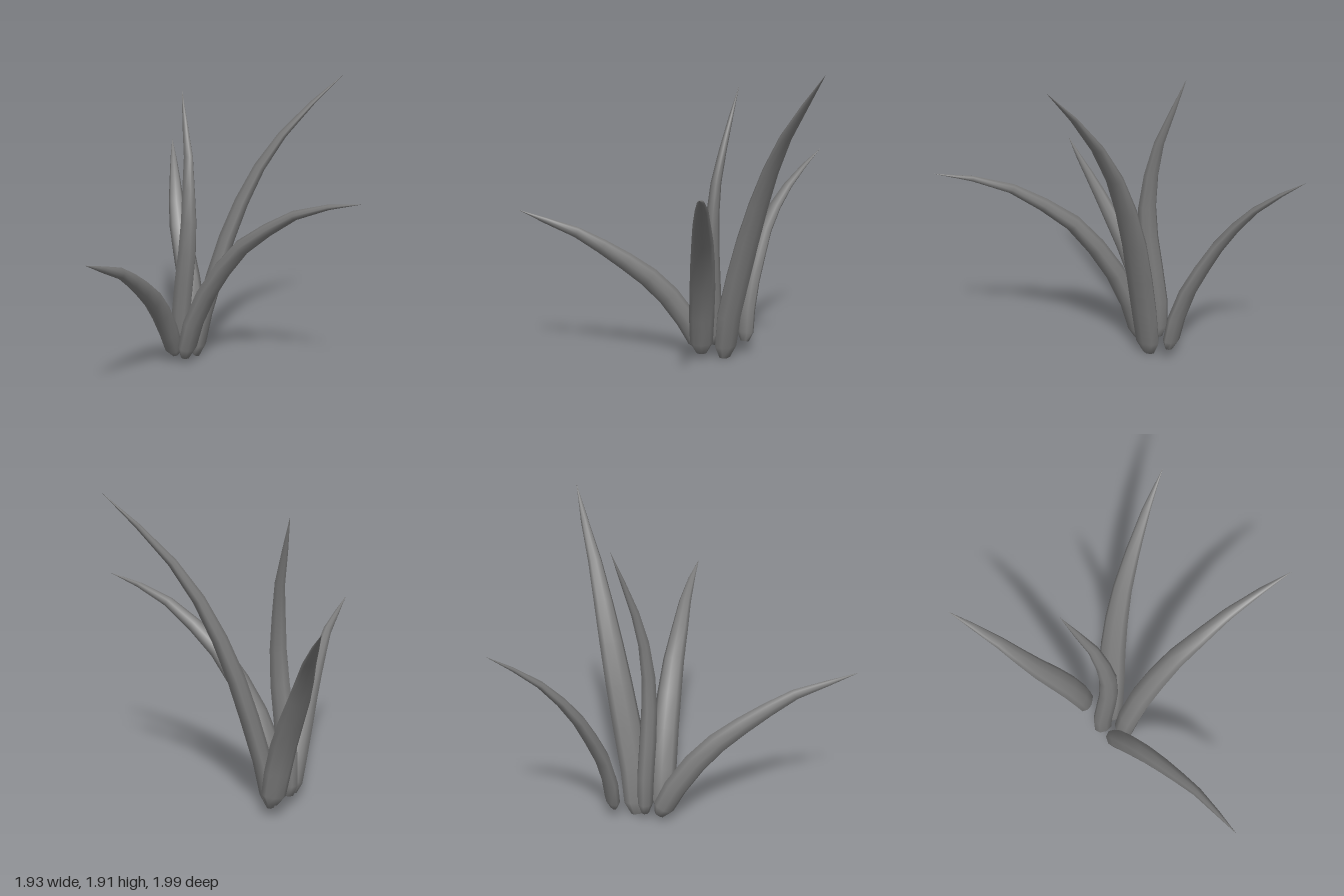
import * as THREE from 'three';

const SIDES = 8;
// Position along a leaf and its relative girth there
const STATIONS = [
  [0, 0.45], [0.04, 0.92], [0.14, 1], [0.27, 1], [0.39, 0.94],
  [0.51, 0.82], [0.63, 0.66], [0.75, 0.48], [0.88, 0.27], [1, 0.01],
];

// side: direction of the leaf's broad axis
const LEAVES = [
  { name: 'rightArchingLeaf', width: 0.165, thick: 0.125, side: [0, 0, -1],
    path: [[-0.30, 0.04, -0.18], [-0.25, 0.25, -0.18], [-0.14, 0.505, -0.185], [0.12, 0.865, -0.185],
      [0.33, 1.03, -0.18], [0.57, 1.175, -0.18], [0.8, 1.245, -0.175], [0.96, 1.28, -0.17]] },
  { name: 'tallBackLeaf', width: 0.185, thick: 0.115, side: [0.54, 0, 0.79],
    path: [[-0.315, 0.005, -0.335], [-0.27, 0.3, -0.36], [-0.22, 0.55, -0.41], [-0.16, 0.82, -0.47],
      [-0.02, 1.24, -0.58], [0.14, 1.53, -0.682], [0.26, 1.69, -0.76], [0.46, 1.91, -0.87]] },
  { name: 'frontLeaf', width: 0.12, thick: 0.145, side: [1, 0, -0.17],
    path: [[-0.38, 0.05, -0.18], [-0.36, 0.28, -0.06], [-0.325, 0.485, 0.1], [-0.29, 0.6, 0.23],
      [-0.25, 0.73, 0.41], [-0.205, 0.86, 0.61], [-0.18, 0.94, 0.8], [-0.16, 1.02, 0.99]] },
  { name: 'leftBackLeaf', width: 0.16, thick: 0.09, side: [0.8, 0, -0.6],
    path: [[-0.4, 0.09, -0.47], [-0.46, 0.38, -0.485], [-0.53, 0.57, -0.53],
      [-0.66, 0.85, -0.62], [-0.8, 1.11, -0.785], [-0.97, 1.32, -1.0]] },
  { name: 'uprightLeaf', width: 0.14, thick: 0.105, side: [1, 0, 0],
    path: [[-0.4, 0.07, -0.265], [-0.39, 0.3, -0.262], [-0.355, 0.55, -0.25], [-0.315, 0.87, -0.245],
      [-0.325, 1.15, -0.265], [-0.36, 1.4, -0.315], [-0.42, 1.6, -0.365], [-0.475, 1.79, -0.415]] },
];

// Sweep an oval section along the leaf's curve, tapering to a point
function leafGeometry({ path, width, thick, side }) {
  const curve = new THREE.CatmullRomCurve3(path.map(p => new THREE.Vector3(...p)));
  const positions = [], index = [];
  const broad = new THREE.Vector3(...side).normalize();
  for (const [t, girth] of STATIONS) {
    const centre = curve.getPointAt(t);
    const tangent = curve.getTangentAt(t);
    const s = broad.clone().addScaledVector(tangent, -broad.dot(tangent)).normalize();
    const n = new THREE.Vector3().crossVectors(tangent, s);
    for (let j = 0; j < SIDES; j++) {
      const a = (j / SIDES) * Math.PI * 2;
      const p = centre.clone()
        .addScaledVector(s, Math.cos(a) * girth * width / 2)
        .addScaledVector(n, Math.sin(a) * girth * thick / 2);
      positions.push(p.x, p.y, p.z);
    }
  }
  for (let i = 0; i < STATIONS.length - 1; i++) {
    for (let j = 0; j < SIDES; j++) {
      const k = (j + 1) % SIDES;
      const a = i * SIDES + j, b = i * SIDES + k, c = a + SIDES, d = b + SIDES;
      index.push(a, b, d, a, d, c);
    }
  }
  // Close the base
  for (let j = 1; j < SIDES - 1; j++) index.push(0, j + 1, j);
  const geometry = new THREE.BufferGeometry();
  geometry.setAttribute('position', new THREE.Float32BufferAttribute(positions, 3));
  geometry.setIndex(index);
  geometry.computeVertexNormals();
  return geometry;
}

export function createModel() {
  const group = new THREE.Group();
  group.name = 'grassTuft';
  const material = new THREE.MeshStandardMaterial({ color: 0x7c7c7c });
  for (const leaf of LEAVES) {
    const mesh = new THREE.Mesh(leafGeometry(leaf), material);
    mesh.name = leaf.name;
    group.add(mesh);
  }
  return group;
}
